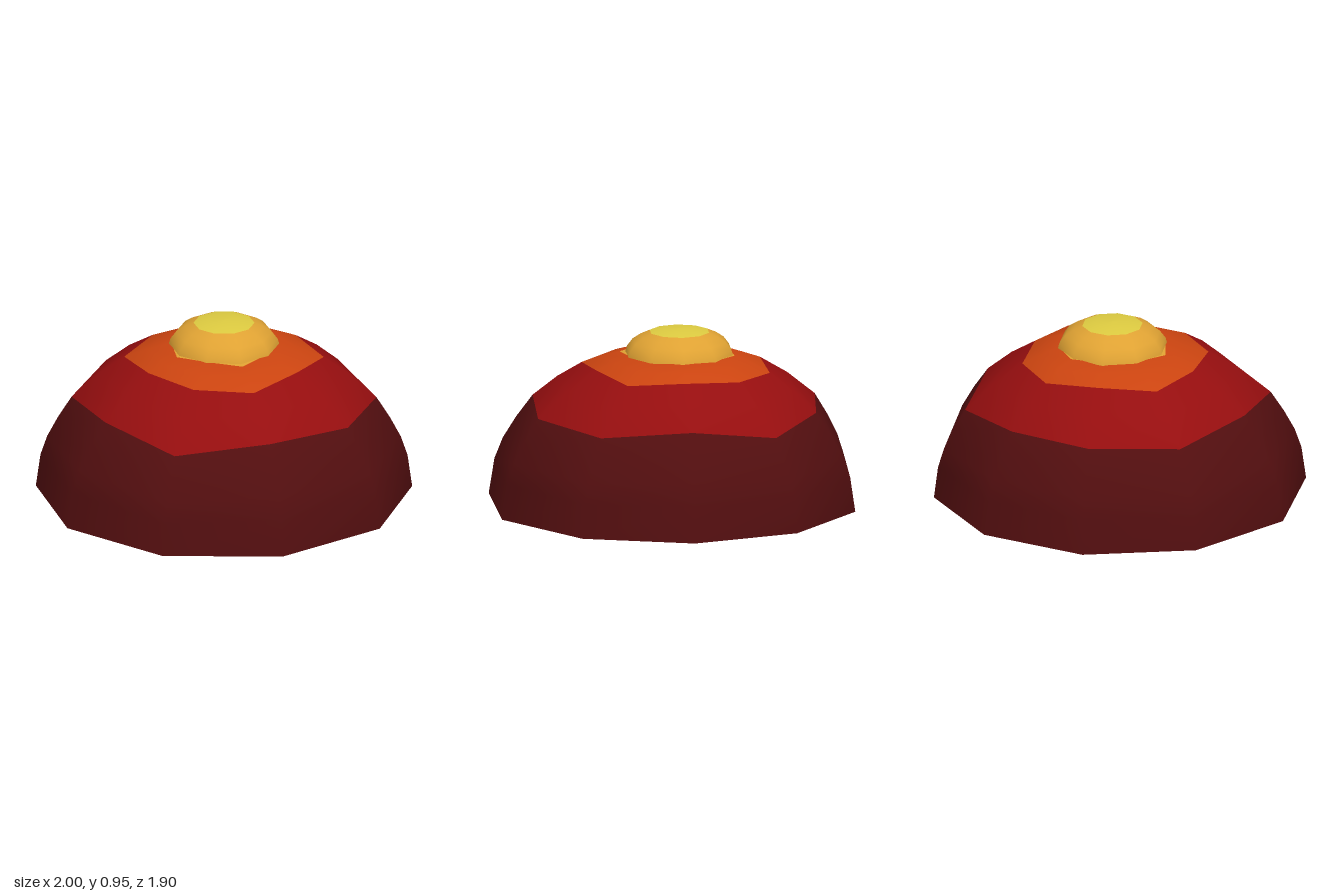
import * as THREE from 'three';

const SIDES = 10;

const paint = (name, color) => {
  const m = new THREE.MeshStandardMaterial({ color });
  m.name = name;
  return m;
};

// Corners of each colour border, counter-clockwise seen from above, from +x
const BASE = [
  [1, 0, -0.04], [0.79, 0, -0.61], [0.3, 0, -0.95], [-0.3, 0, -0.95], [-0.79, 0, -0.61],
  [-1, 0, -0.04], [-0.83, 0, 0.56], [-0.32, 0, 0.95], [0.32, 0, 0.95], [0.83, 0, 0.56],
];
const RED_EDGE = [
  [0.81, 0.51, -0.04], [0.6, 0.55, -0.48], [0.25, 0.49, -0.79], [-0.23, 0.53, -0.75], [-0.63, 0.53, -0.5],
  [-0.81, 0.51, -0.04], [-0.63, 0.555, 0.43], [-0.26, 0.5, 0.77], [0.25, 0.55, 0.72], [0.66, 0.53, 0.44],
];
const ORANGE_EDGE = [
  [0.53, 0.74, -0.04], [0.38, 0.755, -0.31], [0.15, 0.74, -0.5], [-0.15, 0.735, -0.51], [-0.38, 0.755, -0.31],
  [-0.53, 0.74, -0.04], [-0.4, 0.76, 0.24], [-0.16, 0.75, 0.45], [0.16, 0.74, 0.47], [0.39, 0.765, 0.24],
];
const GOLD_EDGE = [
  [0.28, 0.82, -0.04], [0.245, 0.82, -0.21], [0.09, 0.82, -0.31], [-0.09, 0.82, -0.33], [-0.23, 0.82, -0.19],
  [-0.28, 0.82, -0.04], [-0.25, 0.815, 0.15], [-0.09, 0.82, 0.23], [0.1, 0.81, 0.27], [0.23, 0.82, 0.12],
];

// Ring between two borders: s moves it inward, q moves it up
const between = (a, b, s, q) => a.map((p, j) => [
  p[0] + (b[j][0] - p[0]) * s,
  p[1] + (b[j][1] - p[1]) * q,
  p[2] + (b[j][2] - p[2]) * s,
]);

function shellGeometry() {
  const top = GOLD_EDGE.map(() => [0, 0.83, -0.04]);
  const rings = [
    BASE,
    between(BASE, RED_EDGE, 0.13, 0.35),
    between(BASE, RED_EDGE, 0.32, 0.56),
    between(BASE, RED_EDGE, 0.63, 0.78),
    RED_EDGE,
    between(RED_EDGE, ORANGE_EDGE, 0.5, 0.57),
    ORANGE_EDGE,
    between(ORANGE_EDGE, GOLD_EDGE, 0.53, 0.57),
    GOLD_EDGE,
    top,
  ];
  const index = [];
  for (let i = 0; i < rings.length - 1; i++) {
    for (let j = 0; j < SIDES; j++) {
      const k = (j + 1) % SIDES;
      const a = i * SIDES + j, b = i * SIDES + k;
      index.push(a, b, b + SIDES, a, b + SIDES, a + SIDES);
    }
  }
  const g = new THREE.BufferGeometry();
  g.setAttribute('position', new THREE.Float32BufferAttribute(rings.flat(2), 3));
  g.setIndex(index);
  g.computeVertexNormals();
  // Rows of faces per colour: maroon, red, orange, gold
  let row = 0;
  [4, 2, 2, 1].forEach((rows, m) => {
    g.addGroup(row * SIDES * 6, rows * SIDES * 6, m);
    row += rows;
  });
  return g;
}

function undersideGeometry() {
  const index = [];
  for (let j = 0; j < SIDES; j++) index.push(SIDES, (j + 1) % SIDES, j);
  const g = new THREE.BufferGeometry();
  g.setAttribute('position', new THREE.Float32BufferAttribute([...BASE, [0, 0, 0]].flat(), 3));
  g.setIndex(index);
  g.computeVertexNormals();
  return g;
}

export function createModel() {
  const maroon = paint('maroon', 0x520e0f);
  const red = paint('red', 0x960e0f);
  const orange = paint('orange', 0xcb4410);
  const gold = paint('gold', 0xdfa233);
  const yellow = paint('yellow', 0xdcca40);

  const model = new THREE.Group();
  model.name = 'bandedDome';
  const add = (name, geometry, material) => {
    const mesh = new THREE.Mesh(geometry, material);
    mesh.name = name;
    model.add(mesh);
    return mesh;
  };
  const lathe = (points) => new THREE.LatheGeometry(
    points.map(([r, y]) => new THREE.Vector2(r, y)), SIDES, Math.PI / 2);

  // Main dome with its colour bands, and its flat bottom
  add('domeShell', shellGeometry(), [maroon, red, orange, gold]);
  add('underside', undersideGeometry(), maroon);

  // Small button on top, closed by a brighter cap
  add('topButton', lathe([[0.295, 0.81], [0.285, 0.845], [0.255, 0.885], [0.21, 0.915], [0.162, 0.936]]), gold)
    .position.z = -0.04;
  add('topCap', lathe([[0.162, 0.936], [0.09, 0.951], [0, 0.954]]), yellow)
    .position.z = -0.04;

  return model;
}
